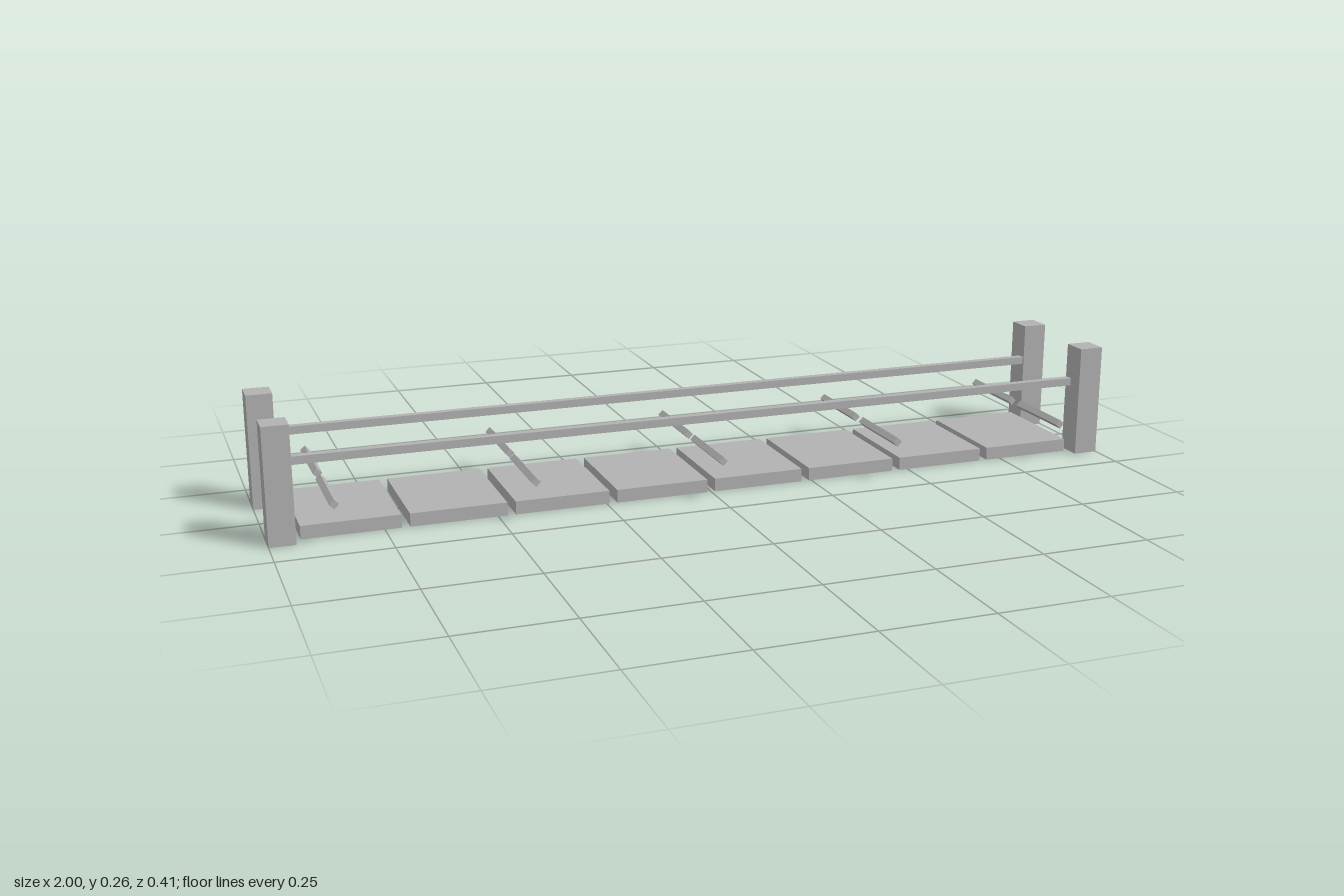
import * as THREE from 'three';

export function createModel() {
  const model = new THREE.Group();
  const grey = new THREE.MeshStandardMaterial({ color: 0xb2b2b2, flatShading: true });
  grey.name = 'plain grey';

  const add = (name, geometry, x, y, z) => {
    const mesh = new THREE.Mesh(geometry, grey);
    mesh.name = name;
    mesh.position.set(x, y, z);
    model.add(mesh);
  };

  // Deck: eight slabs with narrow gaps
  const slab = new THREE.BoxGeometry(0.216, 0.03, 0.26);
  for (let i = 0; i < 8; i++) add('deckSlab', slab, (i - 3.5) * 0.2347, 0.015, 0);

  const post = new THREE.BoxGeometry(0.058, 0.263, 0.06);
  const rail = new THREE.BoxGeometry(1.89, 0.018, 0.018);
  // Four-sided bar standing on its edge, lying along z
  const bar = new THREE.CylinderGeometry(0.0107, 0.0107, 0.187, 4).rotateX(Math.PI / 2);

  for (const side of [-1, 1]) {
    // Corner posts and the long rail between them
    for (const end of [-1, 1]) add('cornerPost', post, end * 0.971, 0.1315, side * 0.131);
    add('sideRail', rail, 0, 0.173, side * 0.114);
    // Cross bars reaching in from each side
    for (let i = -2; i <= 2; i++) add('crossBar', bar, i * 0.433, 0.095, side * 0.113);
  }
  return model;
}
